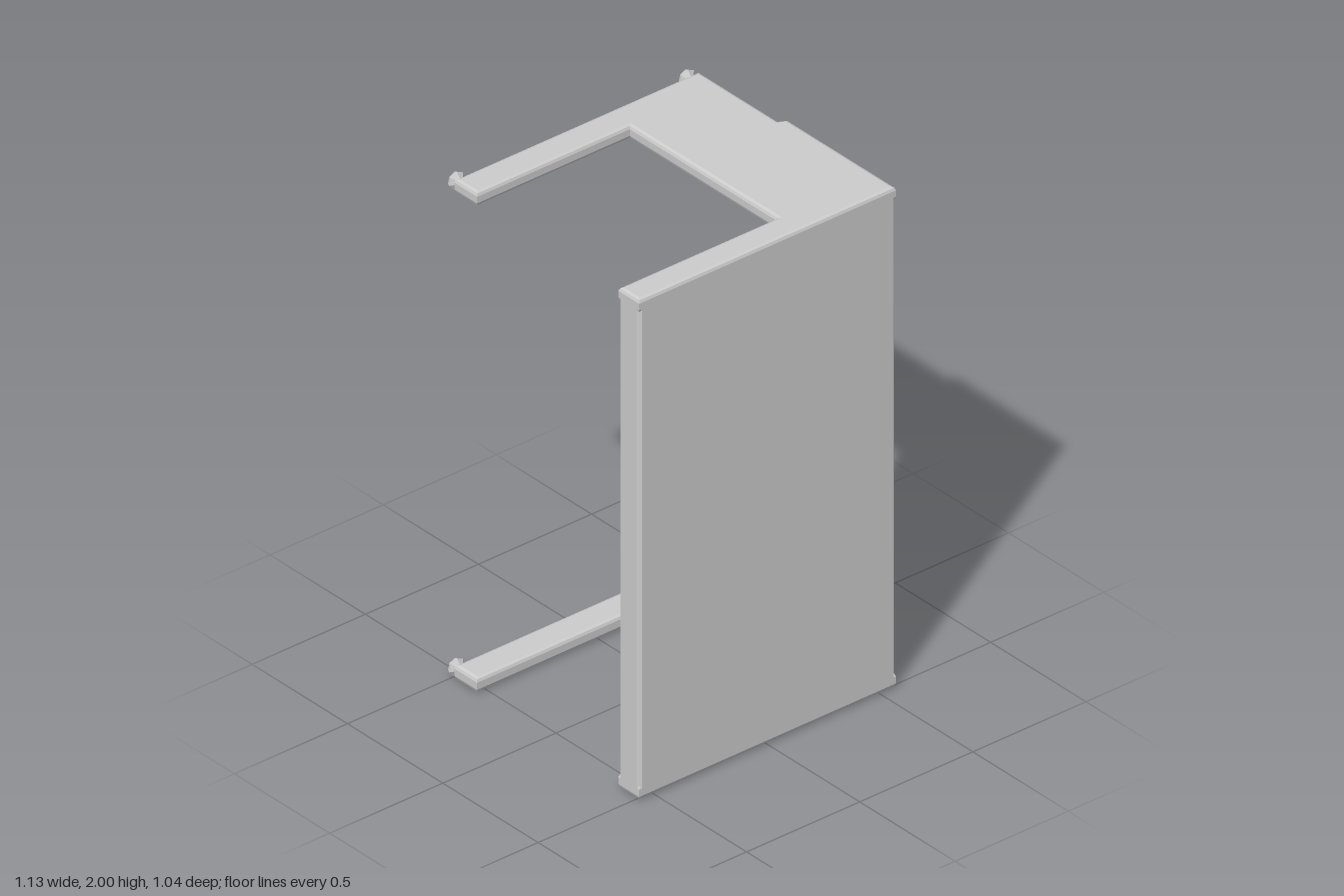
import * as THREE from 'three';

const material = new THREE.MeshStandardMaterial({ color: 0xcccccc, flatShading: true });

// Extrude a plan outline given as [x, z] points from y0 to y1
function extrudePlan(points, y0, y1, bevel) {
  const shape = new THREE.Shape(points.map(([x, z]) => new THREE.Vector2(x, -z)));
  const geometry = new THREE.ExtrudeGeometry(shape, {
    depth: y1 - y0 - 2 * bevel,
    bevelEnabled: bevel > 0,
    bevelThickness: bevel,
    bevelSize: bevel,
    bevelOffset: -bevel,
    bevelSegments: 2,
  });
  geometry.rotateX(-Math.PI / 2);
  geometry.translate(0, y0 + bevel, 0);
  return geometry;
}

function add(group, name, geometry, x = 0, y = 0, z = 0) {
  const mesh = new THREE.Mesh(geometry, material);
  mesh.name = name;
  mesh.position.set(x, y, z);
  group.add(mesh);
}

export function createModel() {
  const group = new THREE.Group();
  group.name = 'bracketPanel';

  // Front panel, tall side wall and short side lip in one channel section
  const c = 0.012;
  add(group, 'frontPanelAndSideWall', extrudePlan([
    [-0.57 + c, 0.52], [0.565 - c, 0.52], [0.565, 0.52 - c],
    [0.565, -0.04], [0.555, -0.05], [0.53, -0.05],
    [0.53, 0.485], [-0.535, 0.485], [-0.535, 0.41],
    [-0.57 + c, 0.41], [-0.57, 0.41 + c], [-0.57, 0.52 - c],
  ], 0.025, 1.975, 0));

  // C-shaped end plates: front rim, wide web, rear arm
  const plate = [
    [-0.57, 0.52], [0.565, 0.52], [0.565, -0.05], [0.535, -0.065],
    [0.535, -0.48], [-0.545, -0.48], [-0.545, -0.36], [0.13, -0.36],
    [0.13, 0.41], [-0.57, 0.41],
  ];
  add(group, 'topPlate', extrudePlan(plate, 1.94, 1.994, 0.014));
  add(group, 'bottomPlate', extrudePlan(plate, 0.008, 0.064, 0.014));

  // Small faceted knobs on the rear arms, pointing backwards
  const profile = [[0, -0.015], [0.018, -0.01], [0.018, 0.008], [0.035, 0.022], [0.03, 0.034], [0.016, 0.044], [0, 0.044]]
    .map(([r, h]) => new THREE.Vector2(r, h));
  const knob = new THREE.LatheGeometry(profile, 7).rotateX(-Math.PI / 2);
  for (const y of [0.034, 1.966])
    for (const x of [-0.515, 0.505]) add(group, 'knob', knob, x, y, -0.48);

  return group;
}
